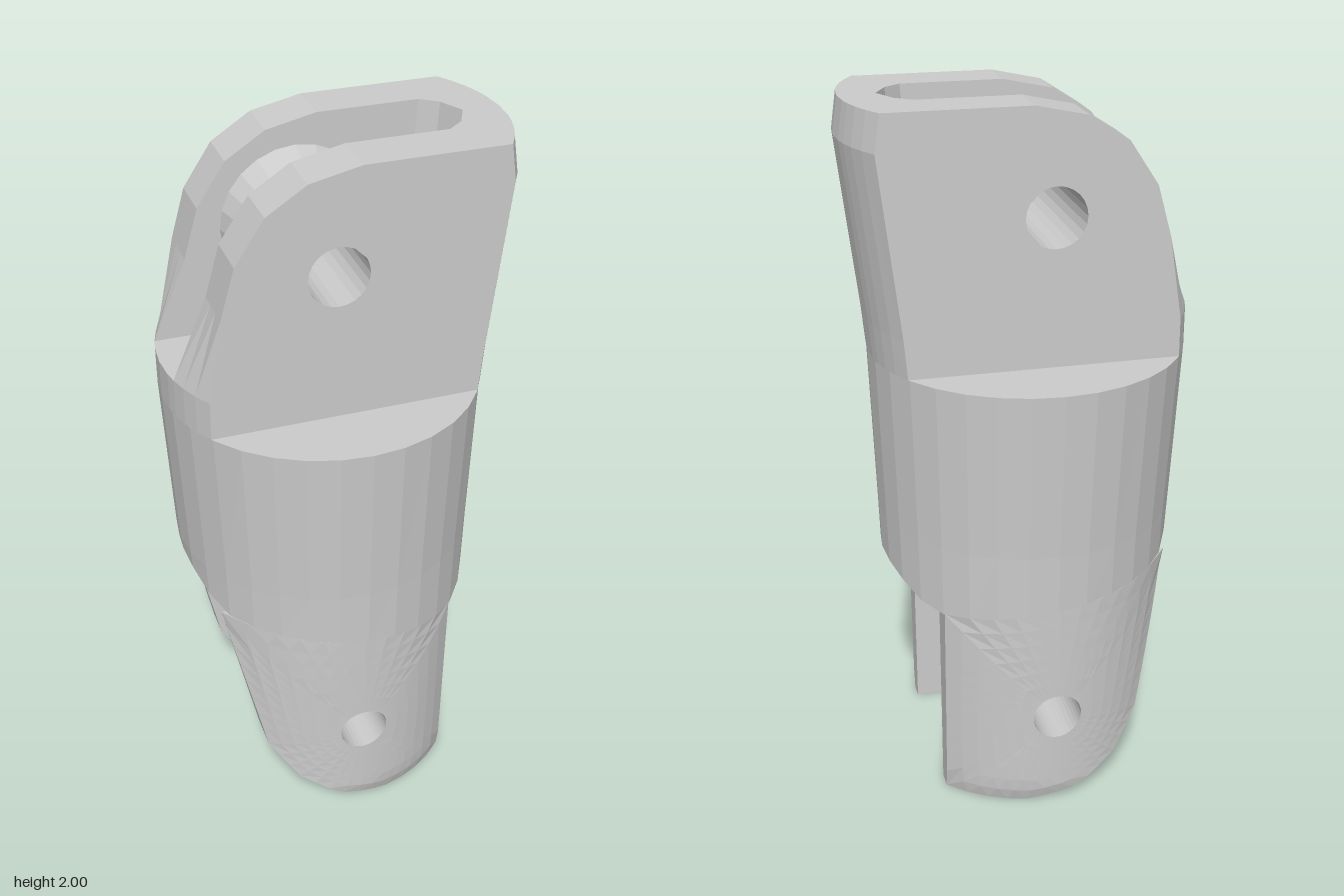
import * as THREE from 'three';

const material = new THREE.MeshStandardMaterial({ color: 0xcccccc, flatShading: true, side: THREE.DoubleSide });
const { lerp, clamp } = THREE.MathUtils;

// Piecewise linear lookup; each key is [position, ...values]
function sample(keys, t, i = 1) {
  let k = 1;
  while (k < keys.length - 1 && t > keys[k][0]) k++;
  const a = keys[k - 1], b = keys[k];
  return lerp(a[i], b[i], clamp((t - a[0]) / (b[0] - a[0]), 0, 1));
}

// Elliptical outer section: height, centre x, radius x, radius z
const SECTION = [
  [0, -0.03, 0.40, 0.392], [0.05, -0.03, 0.403, 0.407], [0.75, -0.03, 0.423, 0.422],
  [1.3, -0.035, 0.445, 0.45], [1.41, -0.03, 0.45, 0.45], [1.9, 0.03, 0.446, 0.45], [2, 0.015, 0.446, 0.45],
];
// Underside height of the body along x
const UNDER = [[-0.455, 0.78], [-0.4, 0.69], [0.265, 0.61], [0.3, 0.61], [0.39, 0.685]];
const SLOT = 0.107, TANG = 0.245, GAP = 0.215;

const under = (x) => sample(UNDER, x);
function outerX(y, z, side) {
  const [c, rx, rz] = [1, 2, 3].map((i) => sample(SECTION, y, i));
  return c + side * rx * Math.sqrt(Math.max(0, 1 - (z / rz) ** 2));
}
function outerZ(x, y) {
  const [c, rx, rz] = [1, 2, 3].map((i) => sample(SECTION, y, i));
  return Math.max(GAP, rz * Math.sqrt(Math.max(0, 1 - ((x - c) / rx) ** 2)));
}
// End walls of the slanted channel
function channelX(y, z, side) {
  const k = Math.abs(z) / SLOT;
  return side > 0
    ? sample([[0.61, 0.255], [2, 0.36]], y) - 0.08 * k * k
    : sample([[0.7, -0.265], [1.41, -0.38]], y) + 0.02 * k;
}

// Skin a list of equally long point rows
function skin(rows, closed) {
  const pos = rows.flat(2), index = [], n = rows[0].length;
  const last = closed ? rows.length : rows.length - 1;
  for (let r = 0; r < last; r++) {
    for (let i = 0; i < n - 1; i++) {
      const a = r * n + i, b = ((r + 1) % rows.length) * n + i;
      index.push(a, b, a + 1, b, b + 1, a + 1);
    }
  }
  const g = new THREE.BufferGeometry();
  g.setAttribute('position', new THREE.Float32BufferAttribute(pos, 3));
  g.setIndex(index);
  g.computeVertexNormals();
  return g;
}

// Body: elliptical barrel with the channel through it
function bodyGeometry() {
  const rows = [], sides = 32, corner = Math.sqrt(1 - 1 / 1.6 ** 2);
  for (let i = 0; i < sides; i++) {
    const a = (i / sides) * Math.PI * 2, c = Math.cos(a), s = Math.sin(a);
    const outer = (y) => [
      sample(SECTION, y, 1) + c * sample(SECTION, y, 2), y, s * sample(SECTION, y, 3)];
    const inner = (y) => {
      const z = SLOT * clamp(s * 1.6, -1, 1);
      const x = Math.abs(c) >= corner
        ? channelX(y, z, Math.sign(c))
        : lerp(channelX(y, z, -1), channelX(y, z, 1), (c / corner + 1) / 2);
      return [x, y, z];
    };
    const rim = outer(0.69), mouth = inner(0.69);
    rim[1] = under(rim[0]);
    mouth[1] = under(mouth[0]);
    rows.push([rim, outer(0.82), outer(1.3), inner(1.3), mouth, rim]);
  }
  return skin(rows, true);
}

// Fork prong: grid fanning out from the pin hole to the outline
function prongGeometry() {
  const corners = [[0.265, 0], [0.265, 0.61], [-0.4, 0.69], [-0.3, 0.225], [-0.22, 0.11], [-0.09, 0.03], [0.05, 0]];
  const cx = -0.035, cy = 0.295, r = 0.07, rows = [];
  corners.forEach((p, k) => {
    const q = corners[(k + 1) % corners.length];
    const n = Math.max(3, Math.round(Math.hypot(q[0] - p[0], q[1] - p[1]) / 0.06));
    for (let i = 0; i < n; i++) {
      const x = lerp(p[0], q[0], i / n), y = lerp(p[1], q[1], i / n);
      const d = Math.hypot(x - cx, y - cy);
      const hx = cx + (r * (x - cx)) / d, hy = cy + (r * (y - cy)) / d;
      const row = [[hx, hy, GAP]];
      for (let t = 0; t <= 6; t++) {
        const px = lerp(hx, x, t / 6), py = lerp(hy, y, t / 6);
        row.push([px, py, outerZ(px, py)]);
      }
      row.push([x, y, GAP], [hx, hy, GAP]);
      rows.push(row);
    }
  });
  return skin(rows, true);
}

// Tang cheek: flat plate with a pin hole, its ends following the barrel
function cheekGeometry() {
  const shape = new THREE.Shape([
    [-0.6, 1.3], [0.6, 1.3], [0.6, 1.41], [0.6, 1.9], [0.6, 2], [0, 2], [-0.14, 1.97],
    [-0.25, 1.9], [-0.33, 1.78], [-0.37, 1.64], [-0.48, 1.41], [-0.6, 1.41],
  ].map((p) => new THREE.Vector2(...p)));
  shape.holes.push(new THREE.Path().absarc(-0.06, 1.71, 0.083, 0, Math.PI * 2, true));
  const g = new THREE.ExtrudeGeometry(shape, { depth: TANG - SLOT, steps: 3, bevelEnabled: false, curveSegments: 12 });
  g.translate(0, 0, SLOT);
  const p = g.attributes.position;
  for (let i = 0; i < p.count; i++) {
    const y = p.getY(i), z = p.getZ(i);
    p.setX(i, clamp(p.getX(i), outerX(y, z, -1), outerX(y, z, 1)));
  }
  g.computeVertexNormals();
  return g;
}

// Wall joining the cheeks at one end of the slot
function webGeometry(side, heights) {
  const top = heights[heights.length - 1];
  return skin([-1, -0.65, 0, 0.65, 1].map((k) => {
    const z = k * SLOT;
    const wall = (y) => [channelX(y, z, side), y, z];
    return [wall(1.3), wall(top), ...[...heights].reverse().map((y) => [outerX(y, z, side), y, z])];
  }), false);
}

export function createModel() {
  const model = new THREE.Group();
  const add = (name, geometry, mirrored) => {
    const mesh = new THREE.Mesh(geometry, material);
    mesh.name = name;
    if (mirrored) mesh.scale.z = -1;
    model.add(mesh);
    return mesh;
  };

  add('body', bodyGeometry());
  const prong = prongGeometry(), cheek = cheekGeometry();
  for (const back of [false, true]) {
    add(back ? 'backProng' : 'frontProng', prong, back);
    add(back ? 'backCheek' : 'frontCheek', cheek, back);
  }
  add('slotEndWall', webGeometry(1, [1.3, 1.41, 1.9, 2]));
  add('slotSill', webGeometry(-1, [1.3, 1.41]));

  // Waisted spool around the upper pin hole
  const profile = [[0.083, -SLOT], [0.21, -SLOT], [0.175, 0], [0.21, SLOT], [0.083, SLOT], [0.083, -SLOT]];
  const spool = new THREE.LatheGeometry(profile.map((p) => new THREE.Vector2(...p)), 24);
  spool.rotateX(Math.PI / 2);
  add('spool', spool).position.set(-0.06, 1.71, 0);

  return model;
}
